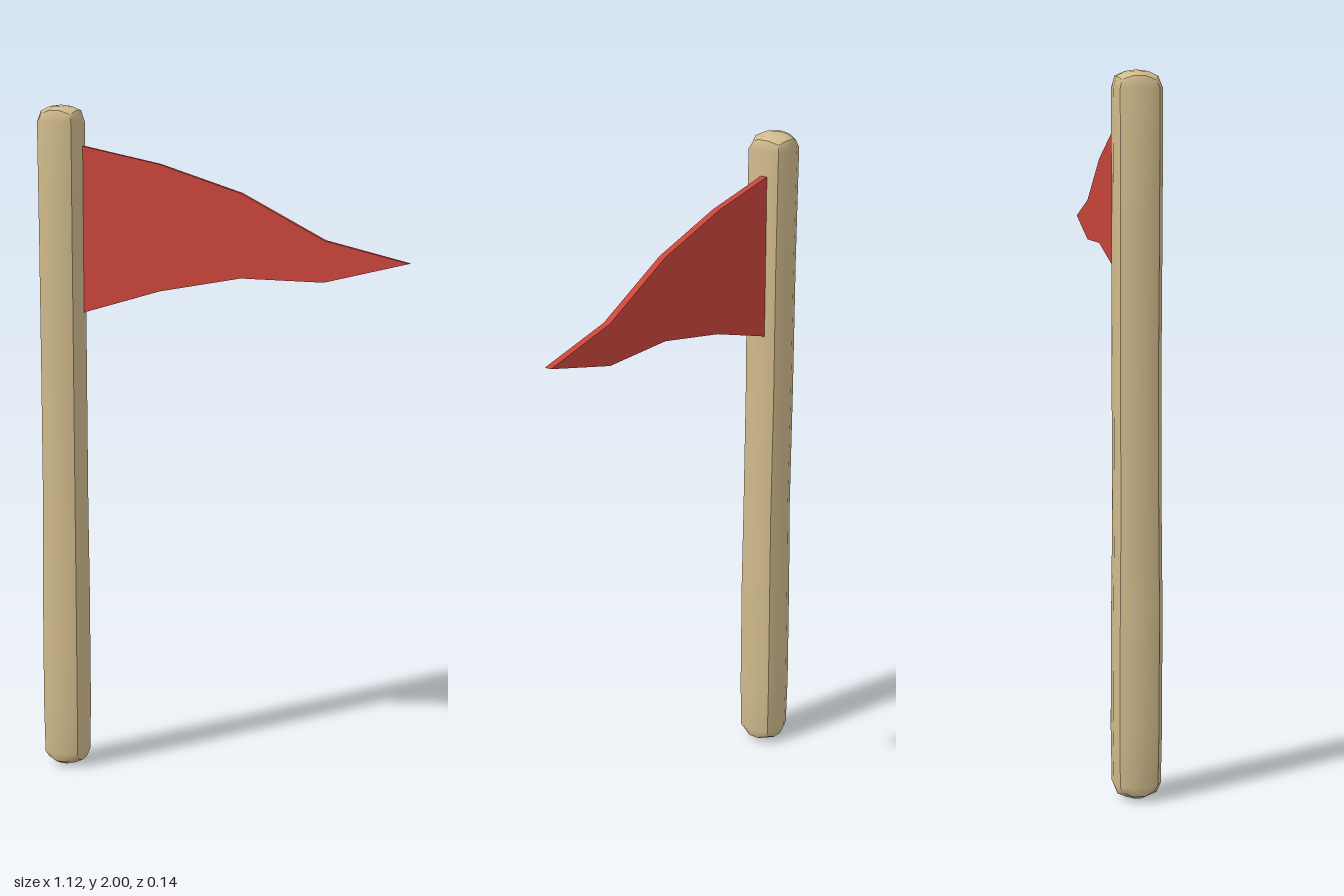
import * as THREE from 'three';

const POLE_X = -0.495;
const STEPS = [-1, -0.4, 0.4, 1];

// height, width scale and small hand-carved drift in x and z
const ROWS = [
  [0.015, 0.8, 0, 0], [0.045, 0.97, 0, 0], [0.2, 1.01, 0, 0], [0.55, 1, 0.001, 0.001],
  [0.8, 0.96, 0.002, 0.001], [1.2, 0.96, 0.001, -0.001], [1.6, 0.97, 0.001, 0],
  [1.95, 0.99, 0, -0.001], [1.985, 0.83, 0, -0.003],
];

// Point on a bulging square cross-section: side k, position u from -1 to 1
function polePoint(row, k, u) {
  const [y, s, dx, dz] = ROWS[row];
  const drop = row === 0 ? 0.012 : row === ROWS.length - 1 ? -0.012 : 0;
  const p = new THREE.Vector3(u * 0.054, 0, 0.054 + 0.0165 * (1 - u * u)).multiplyScalar(s);
  p.applyAxisAngle(new THREE.Vector3(0, 1, 0), k * Math.PI / 2);
  return p.add(new THREE.Vector3(POLE_X + dx, y + drop * u * u, dz));
}

function makeGeometry(points, index) {
  const g = new THREE.BufferGeometry().setFromPoints(points);
  g.setIndex(index);
  g.computeVertexNormals();
  return g;
}

// One long side, smooth inside and sharp at its corners
function poleSide(k) {
  const points = [], index = [], n = STEPS.length;
  ROWS.forEach((_, r) => STEPS.forEach(u => points.push(polePoint(r, k, u))));
  for (let r = 0; r < ROWS.length - 1; r++) {
    for (let i = 0; i < n - 1; i++) {
      const a = r * n + i;
      index.push(a, a + 1, a + n + 1, a, a + n + 1, a + n);
    }
  }
  return makeGeometry(points, index);
}

// Domed end made of a rim, a middle ring and a centre point
function poleCap(row, centreY, up) {
  const rim = [];
  for (let k = 0; k < 4; k++) STEPS.slice(0, -1).forEach(u => rim.push(polePoint(row, k, u)));
  const centre = new THREE.Vector3(POLE_X, centreY, ROWS[row][3]);
  const middle = rim.map(p => {
    const q = p.clone().lerp(centre, 0.45);
    q.y = p.y + (centreY - p.y) * 0.75;
    return q;
  });
  const n = rim.length, index = [];
  const add = (a, b, c) => index.push(...(up ? [a, b, c] : [a, c, b]));
  for (let i = 0; i < n; i++) {
    const j = (i + 1) % n;
    add(i, j, n + j);
    add(i, n + j, n + i);
    add(2 * n, n + i, n + j);
  }
  return makeGeometry([...rim, ...middle, centre], index);
}

export function createModel() {
  const model = new THREE.Group();
  model.name = 'pennantOnPole';
  const wood = new THREE.MeshStandardMaterial({ color: 0xd0ba8c });
  wood.name = 'pale wood';
  const cloth = new THREE.MeshStandardMaterial({ color: 0xc9453b });
  cloth.name = 'red cloth';

  // Wooden pole
  const pole = new THREE.Group();
  pole.name = 'pole';
  const addPart = (name, geometry) => {
    const mesh = new THREE.Mesh(geometry, wood);
    mesh.name = name;
    pole.add(mesh);
  };
  ['poleFront', 'poleLeft', 'poleBack', 'poleRight'].forEach((name, k) => addPart(name, poleSide(k)));
  addPart('poleTop', poleCap(ROWS.length - 1, 2, true));
  addPart('poleBottom', poleCap(0, 0, false));
  model.add(pole);

  // Tapering flag, its root sunk into the pole
  const outline = [
    [-0.45, 1.884], [-0.43, 1.88], [-0.19, 1.83], [0.06, 1.75], [0.31, 1.62], [0.56, 1.56],
    [0.31, 1.5], [0.06, 1.505], [-0.19, 1.46], [-0.43, 1.39], [-0.45, 1.385],
  ].map(([x, y]) => new THREE.Vector2(x, y));
  const flagGeometry = new THREE.ExtrudeGeometry(new THREE.Shape(outline), { depth: 0.021, bevelEnabled: false });
  flagGeometry.translate(0, 0, -0.024);
  const flag = new THREE.Mesh(flagGeometry, cloth);
  flag.name = 'flag';
  model.add(flag);

  return model;
}
